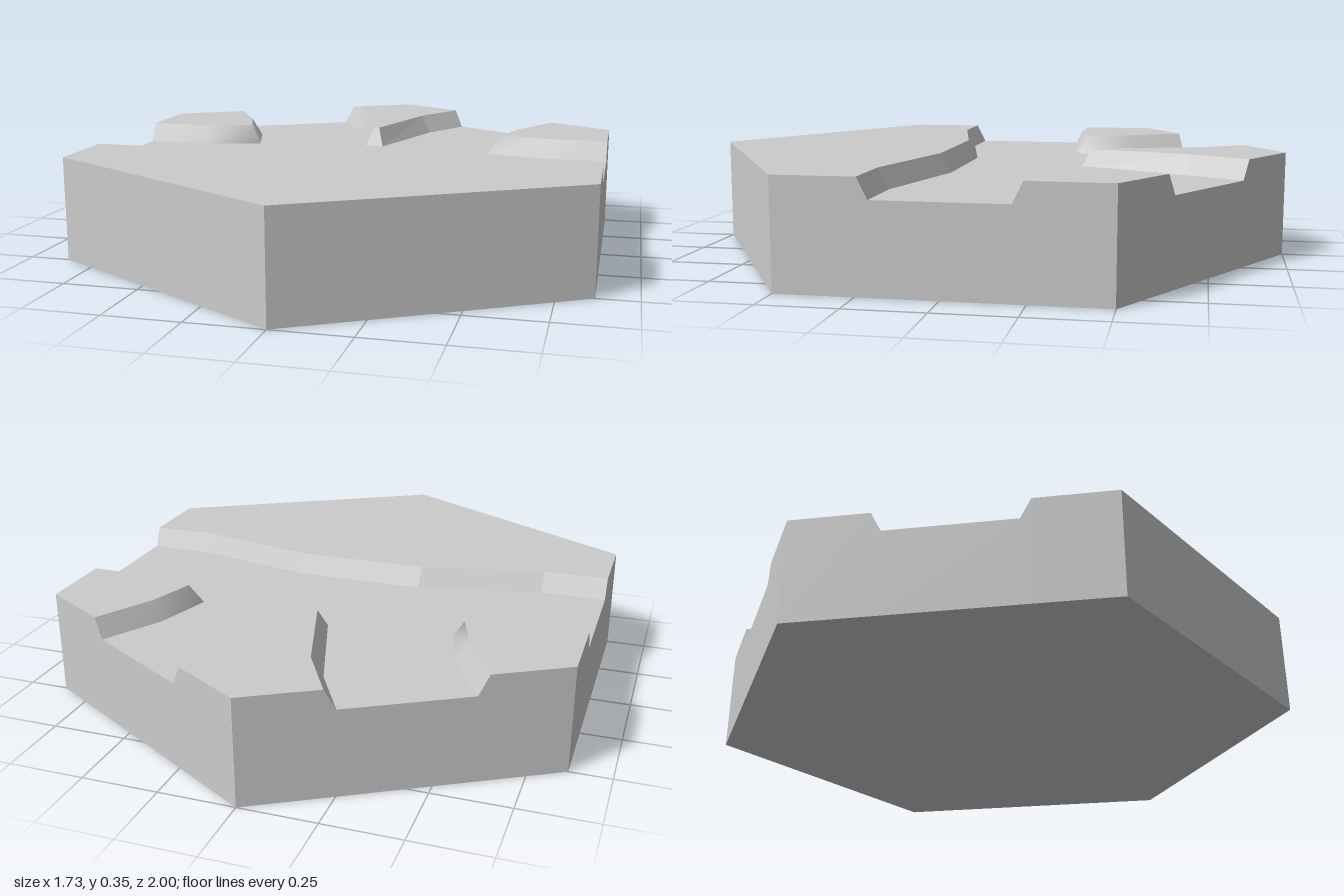
import * as THREE from 'three';

const BED = 0.284, TOP = 0.35;
const W = Math.sqrt(3) / 2;
const backEdge = x => [x, -1 + Math.abs(x) / Math.sqrt(3)];   // point on a rear side of the hexagon

const mirror = pts => pts.map(([x, z]) => [-x, z]).reverse();
const at = (pts, y) => pts.map(([x, z]) => new THREE.Vector3(x, y, z));

// Band of quads between two matching rows of points
function strip(lower, upper, smooth) {
  const index = [];
  for (let i = 0; i < lower.length - 1; i++) {
    const a = 2 * i;
    index.push(a, a + 2, a + 3, a, a + 3, a + 1);
  }
  let geo = new THREE.BufferGeometry().setFromPoints(lower.flatMap((p, i) => [p, upper[i]]));
  geo.setIndex(index);
  if (!smooth) geo = geo.toNonIndexed();
  geo.computeVertexNormals();
  return geo;
}

// Level polygon facing up (or down) at height y
function level(pts, y, up = true) {
  const s = up ? -1 : 1;
  const shape = new THREE.Shape(pts.map(([x, z]) => new THREE.Vector2(x, s * z)));
  return new THREE.ShapeGeometry(shape).rotateX(s * Math.PI / 2).translate(0, y, 0);
}

export function createModel() {
  const group = new THREE.Group();
  group.name = 'riverTile';
  const material = new THREE.MeshStandardMaterial({ color: 0xcccccc });
  const add = (name, geo) => {
    const mesh = new THREE.Mesh(geo, material);
    mesh.name = name;
    group.add(mesh);
  };

  // Raised banks, counterclockwise from above: foot and crest of the slope, tile corners behind it
  const right = {
    name: 'rightForkBank', smooth: true,
    foot: [[W, -0.208], [0.645, -0.208], [0.44, -0.257], [0.499, -0.455], backEdge(0.61)],
    crest: [[W, -0.241], [0.648, -0.241], [0.482, -0.281], [0.533, -0.438], backEdge(0.64)],
    corners: [[W, -0.5]],
  };
  const banks = [
    {
      name: 'frontBank',
      foot: [[-W, 0.205], [-0.645, 0.205], [-0.222, 0.109], [0.222, 0.109], [0.645, 0.205], [W, 0.205]],
      crest: [[-W, 0.239], [-0.648, 0.239], [-0.226, 0.143], [0.226, 0.143], [0.648, 0.239], [W, 0.239]],
      corners: [[-W, 0.5], [0, 1], [W, 0.5]],
    },
    right,
    {
      name: 'middleWedge',
      foot: [backEdge(0.253), [0.148, -0.67], [0.032, -0.308], [-0.032, -0.308], [-0.148, -0.67], backEdge(-0.253)],
      crest: [backEdge(0.222), [0.115, -0.686], [0.01, -0.345], [-0.01, -0.345], [-0.115, -0.686], backEdge(-0.222)],
      corners: [[0, -1]],
    },
    {
      name: 'leftForkBank', smooth: true,
      foot: mirror(right.foot), crest: mirror(right.crest), corners: mirror(right.corners),
    },
  ];

  const rim = [];
  for (const { name, foot, crest, corners, smooth } of banks) {
    // Sloped side and flat top of each bank
    add(name + 'Slope', strip(at(foot, BED).reverse(), at(crest, TOP).reverse(), smooth));
    add(name + 'Top', level([crest[0], ...corners, crest.at(-1), ...crest.slice(1, -1).reverse()], TOP));
    rim.push(
      ...at([foot[0]], BED),
      ...at([crest[0], ...corners, crest.at(-1)], TOP),
      ...at([foot.at(-1)], BED));
  }
  rim.push(rim[0]);

  // River bed between the banks
  add('riverBed', level(banks.flatMap(b => b.foot), BED));

  // Outer walls following the notched rim, and the underside
  add('outerWalls', strip(rim.map(p => new THREE.Vector3(p.x, 0, p.z)), rim));
  add('underside', level(banks.flatMap(b => b.corners), 0, false));
  return group;
}
